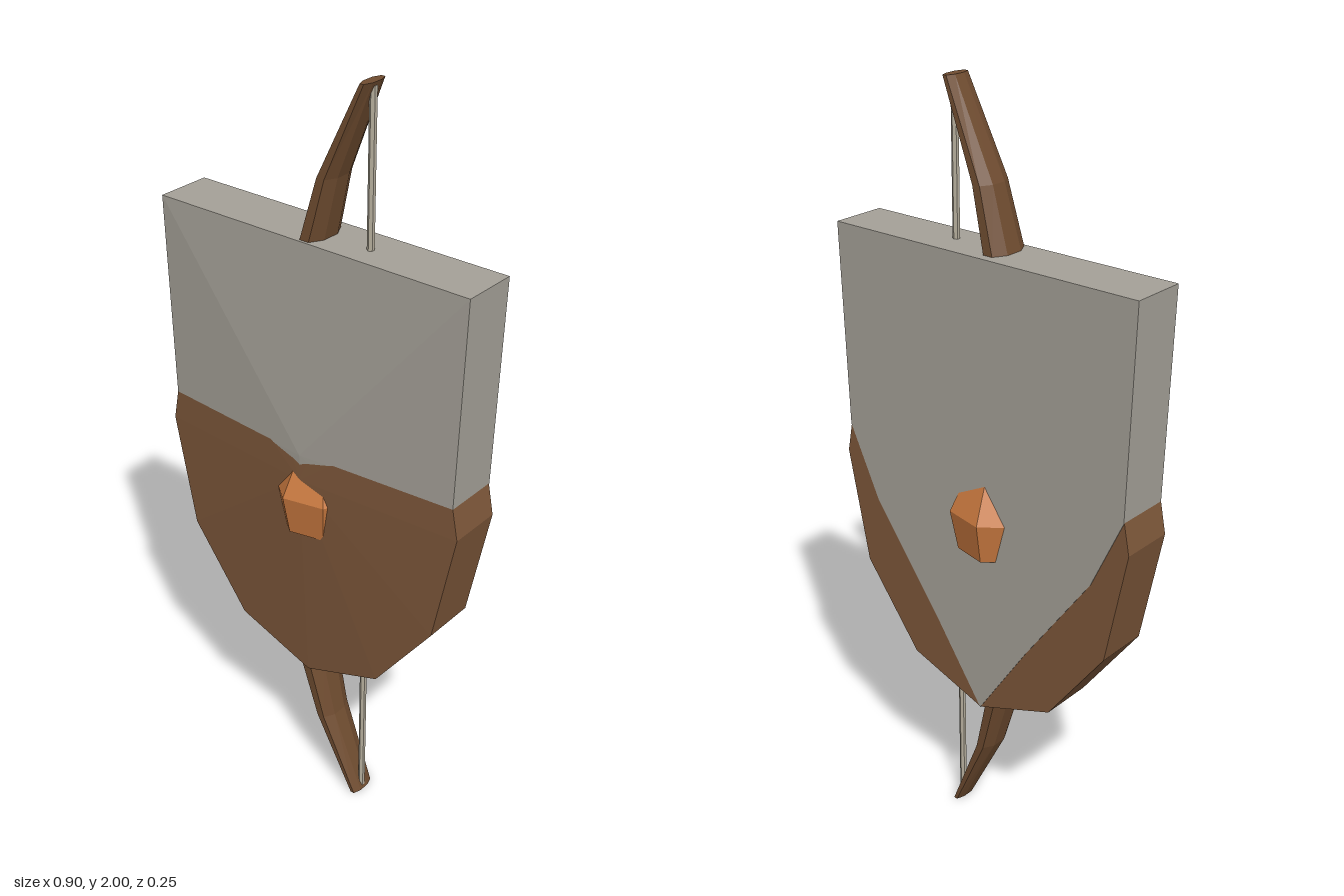
import * as THREE from 'three';

const paint = (color) => new THREE.MeshStandardMaterial({ color, flatShading: true });

function add(group, name, geometry, material) {
  const mesh = new THREE.Mesh(geometry, material);
  mesh.name = name;
  group.add(mesh);
  return mesh;
}

// Slab from a counter-clockwise outline: flat back, straight rim, front raised to a point
function domedSlab(outline, apex, backZ, rimZ) {
  const v = [];
  const [ax, ay, az] = apex;
  outline.forEach(([x1, y1], i) => {
    const [x2, y2] = outline[(i + 1) % outline.length];
    v.push(ax, ay, az, x1, y1, rimZ, x2, y2, rimZ);
    v.push(ax, ay, backZ, x2, y2, backZ, x1, y1, backZ);
    v.push(x1, y1, backZ, x2, y2, backZ, x2, y2, rimZ);
    v.push(x1, y1, backZ, x2, y2, rimZ, x1, y1, rimZ);
  });
  const g = new THREE.BufferGeometry();
  g.setAttribute('position', new THREE.Float32BufferAttribute(v, 3));
  g.computeVertexNormals();
  return g;
}

// Closed bow stave from elliptical cross-sections [y, x, halfWidth, halfDepth]
function bowStave(sections, sides = 8) {
  const pos = [], index = [];
  for (const [y, x, hw, hd] of sections) {
    for (let i = 0; i < sides; i++) {
      const a = ((i + 0.5) / sides) * Math.PI * 2;
      pos.push(x + (hw * Math.cos(a)) / 0.924, y, (hd * Math.sin(a)) / 0.924);
    }
  }
  const last = (sections.length - 1) * sides;
  for (let s = 0; s < last; s += sides) {
    for (let i = 0; i < sides; i++) {
      const j = (i + 1) % sides;
      index.push(s + i, s + sides + i, s + j, s + j, s + sides + i, s + sides + j);
    }
  }
  for (let i = 1; i < sides - 1; i++) {
    index.push(0, i, i + 1, last, last + i + 1, last + i);
  }
  const g = new THREE.BufferGeometry();
  g.setAttribute('position', new THREE.Float32BufferAttribute(pos, 3));
  g.setIndex(index);
  g.computeVertexNormals();
  return g;
}

export function createModel() {
  const model = new THREE.Group();
  model.name = 'shieldAndBow';
  const wood = paint(0x7d573a);
  const metal = paint(0xa5a198);

  // Twelve-sided oval wooden shield
  const oval = [];
  for (let i = 0; i < 12; i++) {
    const a = (i / 12) * Math.PI * 2;
    oval.push([0.45 * Math.cos(a), 1 + 0.61 * Math.sin(a)]);
  }
  add(model, 'woodenShield', domedSlab(oval, [0, 1, 0.095], -0.08, 0.065), wood);

  // Square-topped shield plate tapering to a point, just proud of the wood at the back
  const half = [[0.15, 0.615], [0.345, 0.887], [0.434, 1.08], [0.45, 1.615]];
  const plate = [[0, 0.39], ...half, ...half.map(([x, y]) => [-x, y]).reverse()];
  add(model, 'metalShield', domedSlab(plate, [0, 1.07, 0.094], -0.082, 0.065), metal);

  // Bow: upper half mirrored about mid height
  const upper = [
    [1.25, -0.045, 0.034, 0.062],
    [1.61, -0.012, 0.032, 0.058],
    [1.77, 0.03, 0.026, 0.05],
    [2.0, 0.132, 0.013, 0.037],
  ];
  const lower = upper.map(([y, ...rest]) => [2 - y, ...rest]).reverse();
  add(model, 'bow', bowStave([...lower, ...upper]), paint(0x6f4c30));

  // Bowstring
  const string = add(model, 'bowstring', new THREE.CylinderGeometry(0.009, 0.009, 1.98, 6), paint(0xb5ad9c));
  string.position.set(0.135, 1, 0);

  // Seven-sided grip pushing through both shield faces
  const profile = [[0, 0.843], [0.108, 0.843], [0.128, 0.95], [0.07, 1.07], [0, 1.07]];
  const grip = new THREE.LatheGeometry(profile.map(([r, y]) => new THREE.Vector2(r, y)), 7, Math.PI / 2);
  add(model, 'grip', grip, paint(0xc9793f));

  return model;
}
